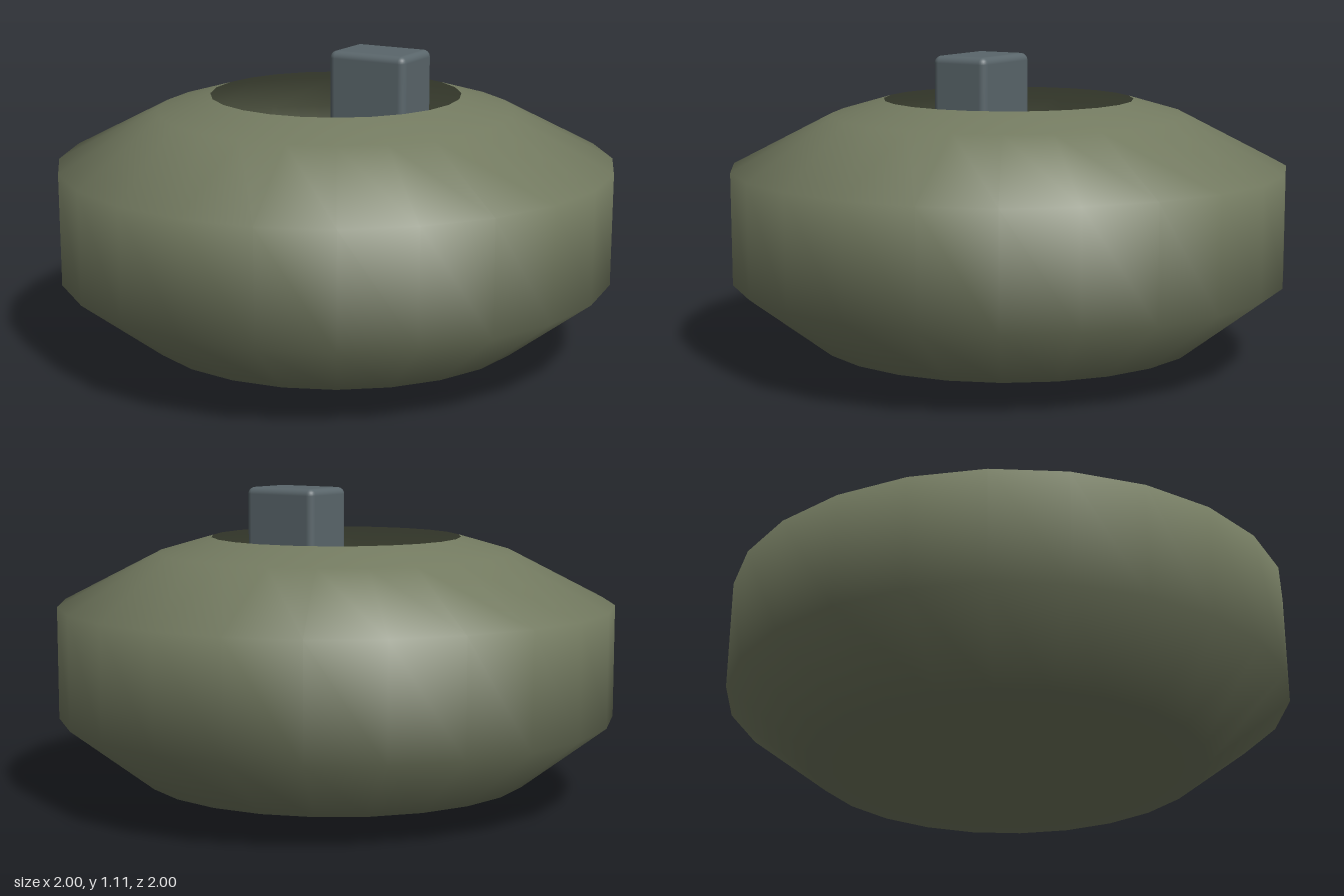
import * as THREE from 'three';
import { RoundedBoxGeometry } from 'three/addons/geometries/RoundedBoxGeometry.js';

export function createModel() {
  const group = new THREE.Group();

  // Hollow, open-topped round shell, bottom to rim
  const profile = [[0, 0], [0.7, 0.07], [1, 0.3], [1, 0.7], [0.64, 0.885], [0.45, 0.94]]
    .map(([r, y]) => new THREE.Vector2(r, y));
  const shell = new THREE.Mesh(
    new THREE.LatheGeometry(profile, 24),
    new THREE.MeshStandardMaterial({ color: 0x737a60, side: THREE.DoubleSide })
  );
  shell.name = 'shell';
  group.add(shell);

  // Upright block standing inside, off centre, rising through the opening
  const bottom = 0.05, top = 1.11;
  const block = new THREE.Mesh(
    new RoundedBoxGeometry(0.3, top - bottom, 0.216, 3, 0.025),
    new THREE.MeshStandardMaterial({ color: 0x5a666b })
  );
  block.name = 'block';
  block.position.set(0.18, (top + bottom) / 2, 0);
  group.add(block);

  return group;
}
